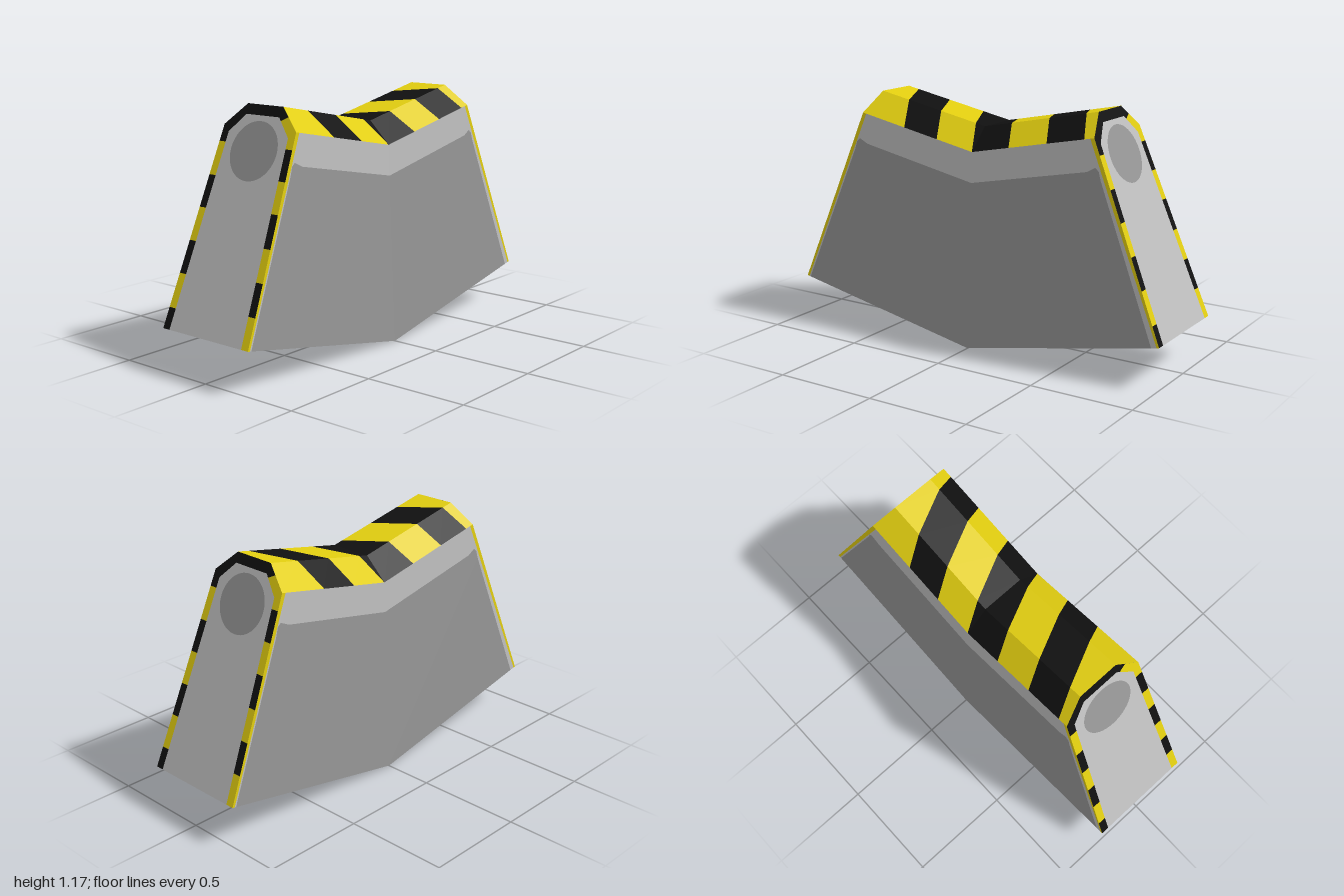
import * as THREE from 'three';
import { mergeGeometries } from 'three/addons/utils/BufferGeometryUtils.js';

const material = (name, color) =>
  new THREE.MeshStandardMaterial({ name, color, side: THREE.DoubleSide });

// Flat polygons drawn in 2D, then laid onto a sloping face by place(u, v)
function facets(name, mat, polygons, place, holes = []) {
  const parts = polygons.map((pts) => {
    const shape = new THREE.Shape(pts.map(([u, v]) => new THREE.Vector2(u, v)));
    shape.holes.push(...holes);
    return new THREE.ShapeGeometry(shape, 24);
  });
  const geometry = mergeGeometries(parts).toNonIndexed();
  const p = geometry.attributes.position;
  for (let i = 0; i < p.count; i++) p.setXYZ(i, ...place(p.getX(i), p.getY(i)));
  geometry.computeVertexNormals();
  const mesh = new THREE.Mesh(geometry, mat);
  mesh.name = name;
  return mesh;
}

// Slopes of the three kinds of face
const onSide = (x, y) => [x, y, 0.26 - (0.045 * (y - 0.2 * Math.abs(x))) / 0.945];
const onEnd = (u, y) => [1 - 0.4124 * (y - 0.2), y, -u];
const onCap = (x, v) => {
  const drop = Math.max(0, Math.abs(v) - 0.105) * (0.105 / 0.11);
  return [x, 1.05 + 0.2 * Math.abs(x) - drop, -v];
};

export function createModel() {
  const yellow = material('hazard yellow', 0xe2ce10);
  const black = material('hazard black', 0x101010);
  const light = material('light concrete', 0xc0c0c0);
  const dark = material('dark concrete', 0x969696);
  const model = new THREE.Group();
  model.name = 'barrier';

  // Striped cap: three lengthwise bands cut by slanting stripes, folded at x = 0
  const cap = new THREE.Group();
  cap.name = 'stripedCap';
  const cells = { yellow: [], black: [] };
  const cuts = (z) => {
    const s = 0.465 * z, end = Math.abs(z) > 0.11 ? 0.64 : 0.6;
    return [-end, s - 0.49, s - 0.3, s - 0.1, 0, s + 0.1, s + 0.3, s + 0.49, end];
  };
  const rows = [0.215, 0.105, -0.105, -0.215];
  for (let r = 0; r < 3; r++) {
    const near = cuts(rows[r]), far = cuts(rows[r + 1]);
    for (let i = 0; i < 8; i++) {
      const list = [1, 3, 4, 6].includes(i) ? cells.black : cells.yellow;
      list.push([[near[i], -rows[r]], [near[i + 1], -rows[r]],
        [far[i + 1], -rows[r + 1]], [far[i], -rows[r + 1]]]);
    }
  }
  cap.add(facets('capYellow', yellow, cells.yellow, onCap),
    facets('capBlack', black, cells.black, onCap));
  model.add(cap);

  // Side wall: dark field, light margin and thin yellow edges
  function sideWall() {
    const wall = new THREE.Group();
    wall.name = 'sideWall';
    const fields = [], margins = [], edges = [];
    for (const [m, low, high] of [[1, 0.962, 0.68], [-1, 0.98, 0.688]]) {
      const flip = (pts) => pts.map(([x, y]) => [m * x, y]);
      const rim = [[low, 0.2 * low], [high, 0.89], [high - 0.012, 0.93], [high - 0.03, 0.945], [0.61, 0.922], [0, 0.8]];
      fields.push(flip([[0, 0], ...rim]));
      margins.push(flip([[0.988, 0.1976], [0.62, 1.069], [0, 0.945], ...rim.slice().reverse()]));
      edges.push(flip([[0.988, 0.1976], [1, 0.2], [0.64, 1.073], [0.62, 1.069]]));
    }
    wall.add(facets('wallField', dark, fields, onSide),
      facets('wallMargin', light, margins, onSide),
      facets('wallEdge', yellow, edges, onSide));
    return wall;
  }

  // End wall: striped border around a light panel with a dark disc
  function endWall() {
    const wall = new THREE.Group();
    wall.name = 'endWall';
    const outer = (y) => 0.26 - (0.045 * (y - 0.2)) / 0.873;
    const inner = (y) => 0.22 - (0.042 * (y - 0.2)) / 0.845;
    const border = { yellow: [], black: [] };
    const breaks = {
      '-1': [0.2, 0.29, 0.435, 0.575, 0.717, 0.856, 1.0],
      '1': [0.2, 0.33, 0.465, 0.6, 0.738, 0.87, 1.0],
    };
    for (const m of [-1, 1]) {
      const ys = breaks[m];
      for (let i = 0; i < 6; i++) {
        const a = ys[i], b = ys[i + 1];
        const isBlack = (i % 2 === 0) === (m < 0);
        (isBlack ? border.black : border.yellow).push([[m * outer(a), a], [m * inner(a), a],
          [m * inner(b), b], [m * outer(b), b]]);
      }
    }
    // Border over the top, black up to the far corner
    border.black.push([[-outer(1), 1], [-inner(1), 1], [-0.178, 1.045], [-0.098, 1.125],
      [0.098, 1.125], [0.112, 1.111], [0.15, 1.13], [0.105, 1.17], [-0.105, 1.17], [-0.215, 1.073]]);
    border.yellow.push([[outer(1), 1], [0.215, 1.073], [0.15, 1.13], [0.112, 1.111],
      [0.178, 1.045], [inner(1), 1]]);
    const panel = [[-0.22, 0.2], [0.22, 0.2], [0.178, 1.045], [0.098, 1.125], [-0.098, 1.125], [-0.178, 1.045]];
    const disc = [];
    for (let i = 0; i < 40; i++) {
      const a = (i / 40) * Math.PI * 2;
      disc.push([0.137 * Math.cos(a), 0.976 + 0.126 * Math.sin(a)]);
    }
    const hole = new THREE.Path(disc.map(([u, v]) => new THREE.Vector2(u, v)));
    wall.add(facets('endPanel', light, [panel], onEnd, [hole]),
      facets('endDisc', dark, [disc], onEnd),
      facets('endBorderYellow', yellow, border.yellow, onEnd),
      facets('endBorderBlack', black, border.black, onEnd));
    return wall;
  }

  // The walls repeat turned half way round; the underside stays open
  for (const [name, turn] of [['frontLeftWalls', 0], ['backRightWalls', Math.PI]]) {
    const half = new THREE.Group();
    half.name = name;
    half.add(sideWall(), endWall());
    half.rotation.y = turn;
    model.add(half);
  }
  return model;
}
